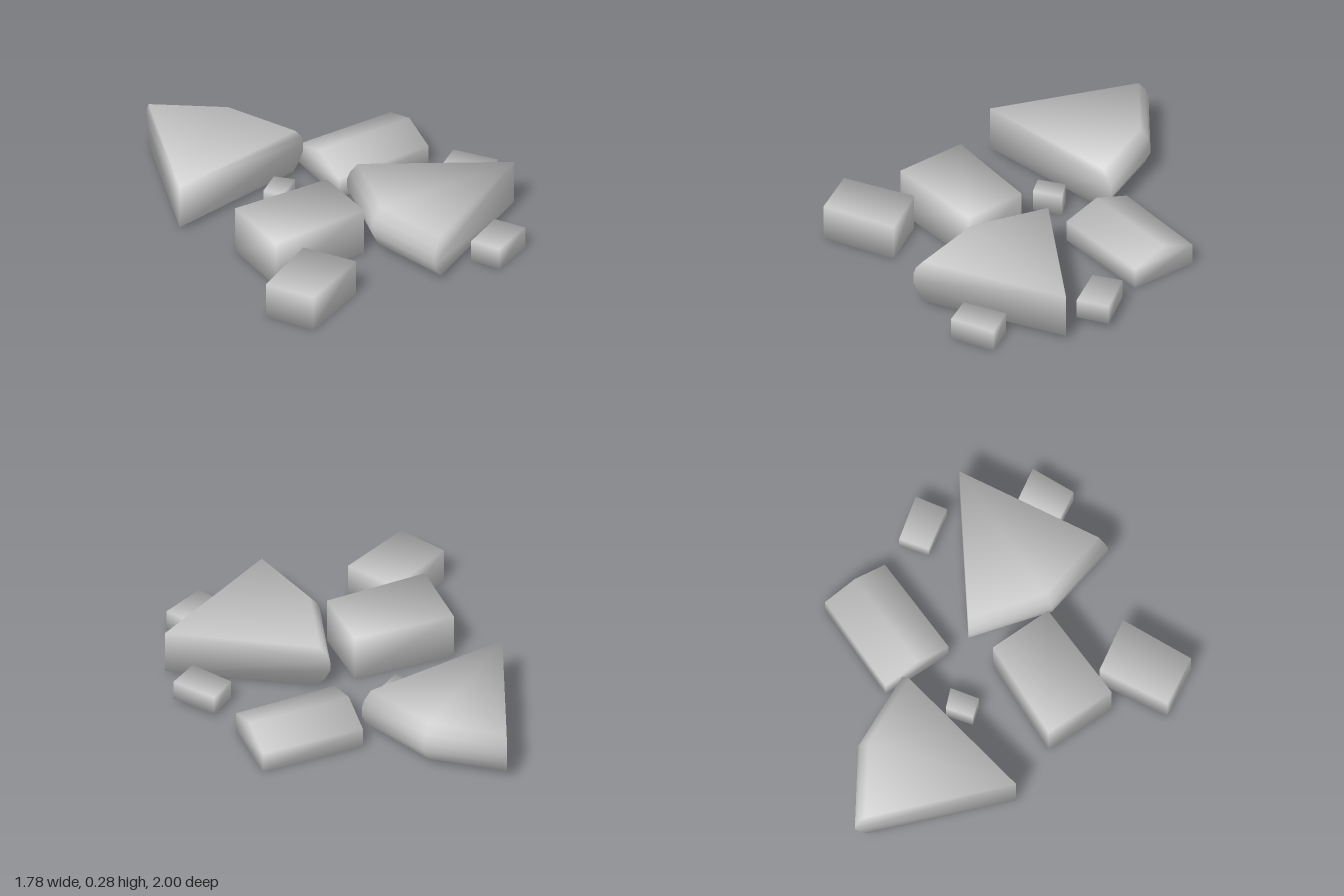
import * as THREE from 'three';
import { mergeVertices } from 'three/addons/utils/BufferGeometryUtils.js';

const stone = new THREE.MeshStandardMaterial({ color: 0xcccccc });
stone.name = 'paleGreyStone';

// Smooth normals, each face weighted by its corner angle
function smoothByAngle(geometry) {
  const position = geometry.attributes.position, index = geometry.index;
  const points = [], normals = [];
  for (let i = 0; i < position.count; i++) {
    points.push(new THREE.Vector3().fromBufferAttribute(position, i));
    normals.push(new THREE.Vector3());
  }
  for (let t = 0; t < index.count; t += 3) {
    const ids = [0, 1, 2].map((k) => index.getX(t + k));
    for (let k = 0; k < 3; k++) {
      const corner = points[ids[k]];
      const u = points[ids[(k + 1) % 3]].clone().sub(corner);
      const v = points[ids[(k + 2) % 3]].clone().sub(corner);
      const face = u.clone().cross(v).normalize();
      normals[ids[k]].addScaledVector(face, u.angleTo(v));
    }
  }
  const values = normals.flatMap((n) => n.normalize().toArray());
  geometry.setAttribute('normal', new THREE.Float32BufferAttribute(values, 3));
}

// Closed solid skinned over stacked loops of [x, y, z], smooth across shared corners
function skin(name, loops) {
  const n = loops[0].length;
  const index = [];
  for (let l = 0; l < loops.length - 1; l++) {
    for (let i = 0; i < n; i++) {
      const a = l * n + i, b = l * n + (i + 1) % n;
      index.push(a, b, b + n, a, b + n, a + n);
    }
  }
  const top = (loops.length - 1) * n;
  for (let i = 1; i < n - 1; i++) {
    index.push(0, i + 1, i);
    index.push(top, top + i, top + i + 1);
  }
  let geometry = new THREE.BufferGeometry();
  geometry.setAttribute('position', new THREE.Float32BufferAttribute(loops.flat(2), 3));
  geometry.setIndex(index);
  geometry = mergeVertices(geometry, 1e-4);
  smoothByAngle(geometry);
  const mesh = new THREE.Mesh(geometry, stone);
  mesh.name = name;
  return mesh;
}

const level = (outline, y) => outline.map(([x, z]) => [x, y, z]);
const middle = (a, b) => [(a[0] + b[0]) / 2, (a[1] + b[1]) / 2];

// Wedge slab: the first corner is one sharp upright edge, the far sides bulge at mid height
const bulge = [[0.03, 0.92], [0.075, 0.967], [0.135, 1], [0.19, 1], [0.235, 0.982], [0.285, 0.936]];
function wedge(name, outline) {
  const [cx, cz] = outline[0];
  return skin(name, bulge.map(([y, s]) => {
    const loop = level(outline.map(([x, z]) => [cx + (x - cx) * s, cz + (z - cz) * s]), y);
    loop[0][1] = y < 0.16 ? 0.03 : 0.285;
    return loop;
  }));
}

// Plain block over a four-cornered outline
const block = (name, outline, y0, y1) => skin(name, [level(outline, y0), level(outline, y1)]);

// Block with a low ridge along its length
function ridged(name, outline, eave, ridge) {
  const left = middle(outline[0], outline[1]), right = middle(outline[2], outline[3]);
  return skin(name, [level(outline, 0), level(outline, eave),
    level([left, left, right, right], ridge)]);
}

export function createModel() {
  const group = new THREE.Group();
  group.name = 'scatteredStones';
  group.add(
    // Two large wedge slabs
    wedge('backWedgeStone', [[-0.89, -0.12], [-0.09, -0.495], [-0.385, -0.84], [-0.81, -1]]),
    wedge('frontWedgeStone', [[0.89, 0.155], [0.03, -0.08], [0.03, 0.39], [0.26, 0.78]]),
    // Medium stones
    ridged('ridgedStone', [[-0.085, -0.585], [0.02, -0.195], [0.57, -0.37], [0.47, -0.74]], 0.12, 0.19),
    block('middleStone', [[-0.66, 0.14], [-0.55, 0.53], [-0.005, 0.355], [-0.11, 0.01]], 0, 0.27),
    block('frontStone', [[-0.685, 0.8], [-0.48, 1], [-0.16, 0.725], [-0.39, 0.515]], 0, 0.205),
    // Small stones
    block('smallLeftStone', [[0.57, -0.125], [0.755, 0.04], [0.875, -0.095], [0.675, -0.255]], 0.035, 0.147),
    block('smallFrontStone', [[0.52, 0.595], [0.64, 0.715], [0.835, 0.55], [0.7, 0.425]], 0, 0.125),
    block('pebble', [[-0.4, -0.2], [-0.31, -0.135], [-0.205, -0.26], [-0.305, -0.32]], 0, 0.12),
  );
  return group;
}
